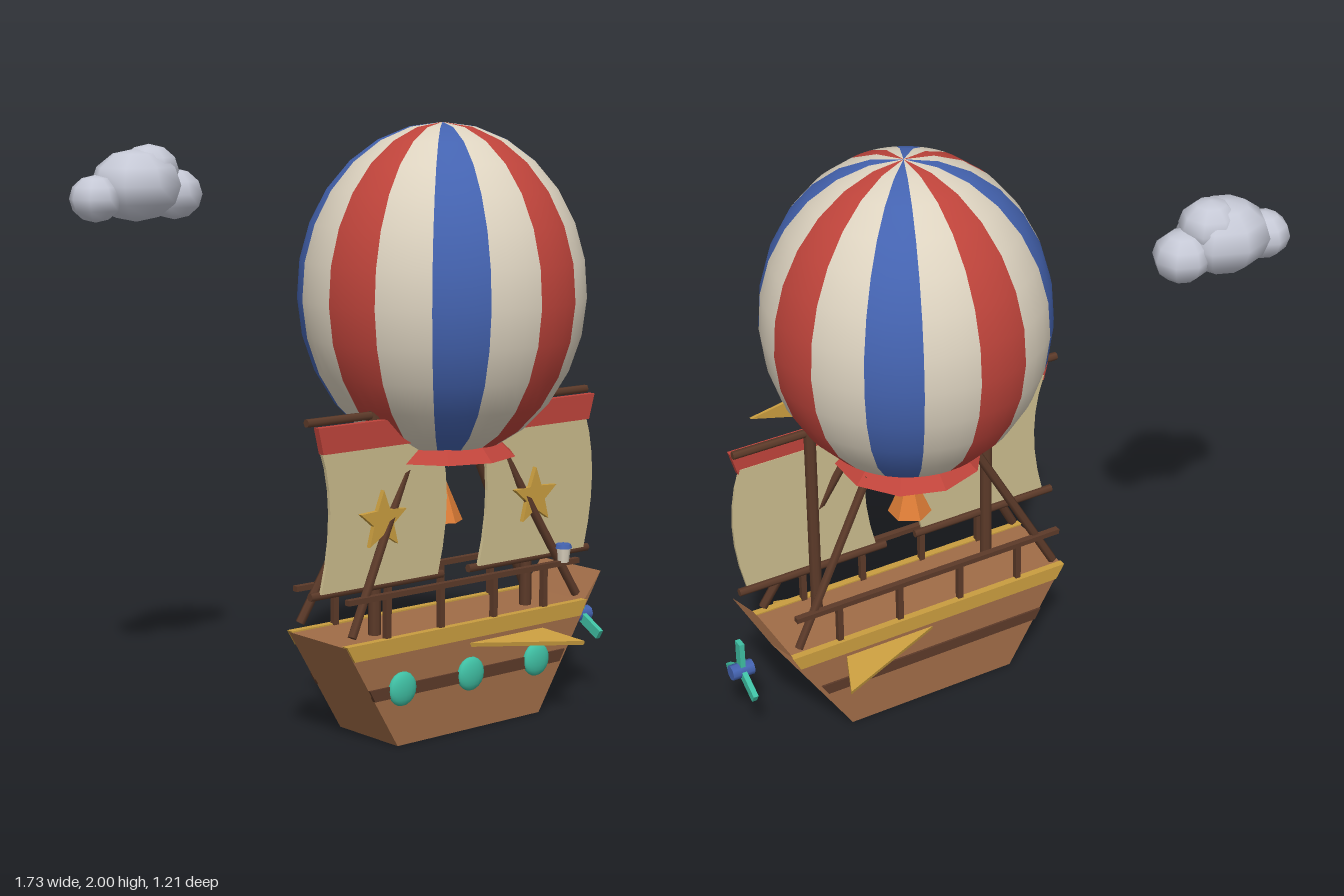
import * as THREE from 'three';

const mat = (name, color, opts = {}) => {
  const m = new THREE.MeshStandardMaterial({ color, ...opts });
  m.name = name;
  return m;
};

export function createModel() {
  const M = {
    wood: mat('hull wood', 0xa06c47),
    dark: mat('dark wood', 0x5c3a29),
    gold: mat('gold', 0xc99d3f),
    red: mat('red', 0xbf443b),
    blue: mat('blue', 0x4463b0),
    cream: mat('cream', 0xddd3c0),
    sail: mat('sailcloth', 0xcabb8c),
    teal: mat('teal', 0x3fbfa3),
    orange: mat('orange', 0xdc7c36),
    cloud: mat('cloud grey', 0xc6c9d6),
  };
  const CX = 0.167, CZ = 0.133; // ship and balloon axis
  const root = new THREE.Group();
  root.name = 'balloonShip';

  const add = (name, geo, material, x = 0, y = 0, z = 0, parent = root) => {
    const m = new THREE.Mesh(geo, material);
    m.name = name;
    m.position.set(x, y, z);
    parent.add(m);
    return m;
  };
  const group = (name) => {
    const g = new THREE.Group();
    g.name = name;
    root.add(g);
    return g;
  };
  const shape = (pts) => new THREE.Shape(pts.map(([x, y]) => new THREE.Vector2(x, y)));
  // flat outline given thickness d, starting at z = 0
  const plate = (s, d) => new THREE.ExtrudeGeometry(s, { depth: d, bevelEnabled: false, curveSegments: 6 });
  // round bar between two points
  const bar = (name, a, b, r, material, parent = root, sides = 6) => {
    const A = new THREE.Vector3(...a), B = new THREE.Vector3(...b);
    const m = add(name, new THREE.CylinderGeometry(r, r, A.distanceTo(B), sides), material, 0, 0, 0, parent);
    m.position.copy(A).add(B).multiplyScalar(0.5);
    m.quaternion.setFromUnitVectors(new THREE.Vector3(0, 1, 0), B.sub(A).normalize());
    return m;
  };

  // Balloon: sixteen gores, red, cream, blue, cream
  const balloon = group('balloon');
  balloon.position.set(CX, 1.45, CZ);
  balloon.scale.set(1, 0.55 / 0.475, 1);
  const step = Math.PI / 8;
  for (let i = 0; i < 16; i++) {
    const gore = new THREE.SphereGeometry(0.475, 1, 12, Math.PI / 2 + i * step, step, 0, 2.75);
    add('balloonGore', gore, [M.red, M.cream, M.blue, M.cream][i % 4], 0, 0, 0, balloon);
  }

  // Collar, its underside and the burner cone
  add('collar', new THREE.CylinderGeometry(0.175, 0.25, 0.07, 10).toNonIndexed(), M.red, CX, 0.945, CZ)
    .geometry.computeVertexNormals();
  add('collarUnderside', new THREE.CylinderGeometry(0.16, 0.16, 0.015, 10), M.gold, CX, 0.905, CZ);
  const burner = new THREE.ConeGeometry(0.074, 0.175, 6).toNonIndexed();
  burner.computeVertexNormals();
  add('burner', burner, M.orange, CX, 0.772, CZ);

  // Hull with raised prow
  const hullWidth = 0.295;
  const hull = shape([[-0.146, 0], [0.485, 0], [0.775, 0.452], [0.695, 0.358], [-0.36, 0.358]]);
  add('hull', plate(hull, hullWidth), M.wood, 0, 0, CZ - hullWidth / 2);

  // Gunwales, rub rails, railings and wings on both sides
  const gunwale = shape([[-0.33, 0.31], [0.675, 0.31], [0.702, 0.363], [-0.362, 0.363]]);
  const rubRail = shape([[-0.245, 0.165], [0.575, 0.165], [0.6, 0.205], [-0.268, 0.205]]);
  const wing = shape([[0.167, 0], [0.5, 0], [0.56, 0.145]]);
  for (const s of [1, -1]) {
    const side = group(s > 0 ? 'frontSide' : 'backSide');
    const faceZ = CZ + s * hullWidth / 2;
    add('gunwale', plate(gunwale, 0.025), M.gold, 0, 0, faceZ - (s > 0 ? 0.017 : 0.008), side);
    add('rubRail', plate(rubRail, 0.014), M.dark, 0, 0, faceZ - 0.007, side);

    const railZ = CZ + s * 0.134;
    const rail = add('handrail', new THREE.BoxGeometry(1.02, 0.018, 0.022), M.dark, 0.165, 0.502, railZ, side);
    rail.castShadow = false;
    for (const x of [-0.18, 0.05, 0.285, 0.515]) {
      add('railPost', new THREE.BoxGeometry(0.02, 0.15, 0.02), M.dark, x, 0.43, railZ, side);
    }

    const fin = add('wing', plate(wing, 0.014), M.gold, 0, 0.293, faceZ, side);
    fin.rotation.x = s > 0 ? Math.PI / 2 + 0.2 : -Math.PI / 2 - 0.2;
    if (s < 0) fin.position.y -= 0.014;

    // Struts from collar to deck corners
    for (const d of [-1, 1]) {
      bar('strut', [CX + d * 0.195, 0.93, CZ + s * 0.07], [CX + 0.005 + d * 0.497, 0.385, CZ + s * 0.134],
        0.016, M.dark, side);
    }
  }

  // Portholes
  for (const x of [-0.13, CX, 0.465]) {
    add('porthole', new THREE.SphereGeometry(0.057, 16, 10), M.teal, x, 0.19, 0.285).scale.z = 0.4;
  }

  // Masts with yards, sails and stars
  const cloth = new THREE.Shape();
  cloth.moveTo(-0.245, 0.53);
  cloth.lineTo(0.245, 0.53);
  cloth.quadraticCurveTo(0.32, 0.8, 0.245, 1.0);
  cloth.lineTo(-0.245, 1.0);
  cloth.quadraticCurveTo(-0.17, 0.8, -0.245, 0.53);
  const valance = shape([[-0.24, 0.98], [0.25, 0.98], [0.275, 1.066], [-0.26, 1.066]]);
  const valanceLeft = shape([[-0.245, 0.98], [0.235, 0.98], [0.26, 1.066], [-0.265, 1.066]]);
  const star = shape(Array.from({ length: 10 }, (_, i) => {
    const r = i % 2 ? 0.043 : 0.1, a = Math.PI / 2 + i * Math.PI / 5;
    return [r * Math.cos(a), r * Math.sin(a)];
  }));
  for (const x of [-0.168, 0.503]) {
    const rig = group('mastAndSail');
    rig.position.x = x;
    bar('mast', [0, 0.34, 0.19], [0, 1.11, 0.19], 0.021, M.dark, rig, 8);
    bar('topYard', [-0.278, 1.078, 0.19], [0.278, 1.078, 0.19], 0.014, M.dark, rig);
    bar('bottomYard', [-0.278, 0.524, 0.205], [0.278, 0.524, 0.205], 0.014, M.dark, rig);
    add('sail', plate(cloth, 0.012), M.sail, 0, 0, 0.21, rig);
    add('valance', plate(x > 0 ? valance : valanceLeft, 0.024), M.red, 0, 0, 0.212, rig);
    add('star', plate(star, 0.018), M.gold, 0, 0.74, 0.221, rig);
  }

  // Pennant
  add('pennant', plate(shape([[0.53, 1.15], [0.71, 1.197], [0.53, 1.23]]), 0.01), M.gold, 0, 0, 0.185);

  // Lantern
  add('lanternBody', new THREE.CylinderGeometry(0.026, 0.02, 0.05, 8), M.cream, 0.603, 0.53, 0.27);
  add('lanternCap', new THREE.CylinderGeometry(0.026, 0.031, 0.014, 8), M.blue, 0.603, 0.561, 0.27);

  // Propeller
  const propeller = group('propeller');
  propeller.position.set(0.823, 0.265, CZ);
  bar('propellerHub', [-0.04, 0, 0], [0.04, 0, 0], 0.027, M.blue, propeller, 8);
  for (let i = 0; i < 3; i++) {
    const blade = add('propellerBlade', new THREE.BoxGeometry(0.018, 0.115, 0.034).translate(0, 0.0575, 0),
      M.teal, 0, 0, 0, propeller);
    blade.rotation.x = i * Math.PI * 2 / 3;
  }

  // Cloud: x, y, z, radius x, y, z
  const cloud = group('cloud');
  for (const [x, y, z, rx, ry, rz] of [
    [-0.625, 1.798, -0.467, 0.155, 0.118, 0.14],
    [-0.782, 1.76, -0.467, 0.084, 0.076, 0.088],
    [-0.475, 1.765, -0.467, 0.096, 0.084, 0.092],
    [-0.572, 1.845, -0.467, 0.1, 0.085, 0.095],
  ]) {
    add('cloudPuff', new THREE.SphereGeometry(1, 8, 6), M.cloud, x, y, z, cloud).scale.set(rx, ry, rz);
  }

  return root;
}
